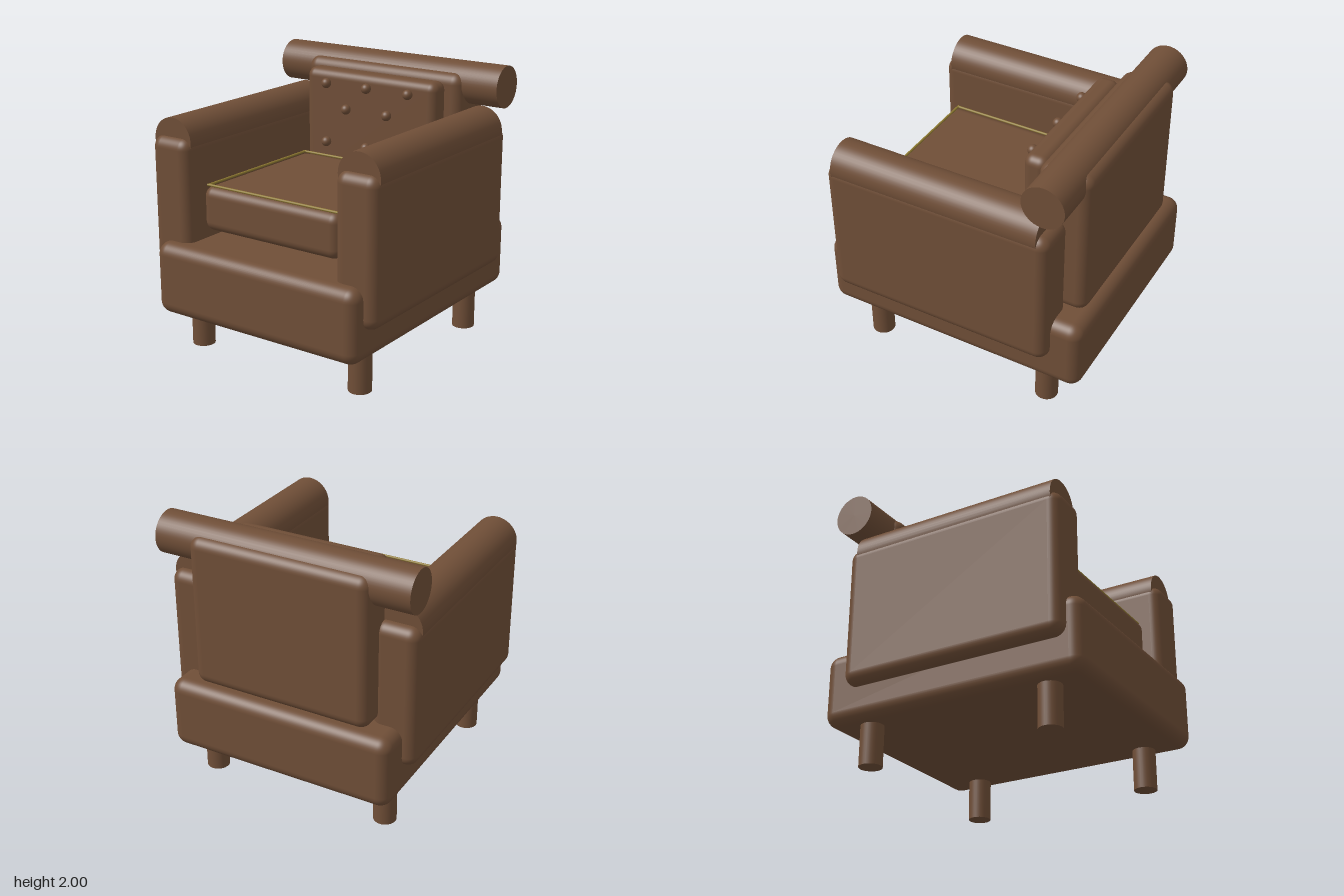
import * as THREE from 'three';
import { RoundedBoxGeometry } from 'three/addons/geometries/RoundedBoxGeometry.js';

export function createModel() {
  const chair = new THREE.Group();
  chair.name = 'armchair';

  const leather = new THREE.MeshStandardMaterial({ color: 0x6f4e37 });
  leather.name = 'brown leather';
  const piping = new THREE.MeshStandardMaterial({ color: 0x8f7a32 });
  piping.name = 'gold piping';

  const add = (name, geometry, material, x, y, z) => {
    const mesh = new THREE.Mesh(geometry, material);
    mesh.name = name;
    mesh.position.set(x, y, z);
    chair.add(mesh);
    return mesh;
  };

  // Soft block given by its [min, max] extent on each axis
  const pad = (name, [x0, x1], [y0, y1], [z0, z1], radius) =>
    add(name, new RoundedBoxGeometry(x1 - x0, y1 - y0, z1 - z0, 6, radius), leather,
      (x0 + x1) / 2, (y0 + y1) / 2, (z0 + z1) / 2);

  // Upholstered body
  pad('base', [-0.855, 0.855], [0.295, 0.825], [-1, 1], 0.09);
  pad('backrest', [-0.672, 0.672], [0.83, 1.93], [-0.945, -0.565], 0.08);
  pad('backCushion', [-0.565, 0.565], [1.0, 1.88], [-0.58, -0.405], 0.065);
  pad('seatCushion', [-0.575, 0.575], [0.91, 1.23], [-0.395, 0.795], 0.07);

  // Head roll across the top of the back
  const headRoll = new THREE.CylinderGeometry(0.152, 0.152, 1.885, 48);
  headRoll.rotateZ(Math.PI / 2);
  add('headRoll', headRoll, leather, 0, 1.848, -0.757);

  // Arms with rolled tops, and legs
  const armRoll = new THREE.CylinderGeometry(0.163, 0.163, 1.555, 48);
  armRoll.rotateX(Math.PI / 2);
  const leg = new THREE.CylinderGeometry(0.082, 0.082, 0.32, 32);
  for (const [side, s] of [['left', 1], ['right', -1]]) {
    const xs = [0.615 * s, 0.943 * s].sort((a, b) => a - b);
    pad(side + 'Arm', xs, [0.53, 1.565], [-0.788, 0.9], 0.08);
    add(side + 'ArmRoll', armRoll, leather, 0.779 * s, 1.537, 0.067);
    add(side + 'FrontLeg', leg, leather, 0.69 * s, 0.16, 0.69);
    add(side + 'BackLeg', leg, leather, 0.69 * s, 0.16, -0.69);
  }

  // Tufting buttons: rows of 3, 2 and 3
  const button = new THREE.SphereGeometry(0.037, 24, 16);
  for (const [y, xs] of [[1.785, [-0.355, 0, 0.355]], [1.607, [-0.178, 0.178]], [1.34, [-0.355, 0, 0.355]]]) {
    for (const x of xs) add('button', button, leather, x, y, -0.375);
  }

  // Piping around the top of the seat cushion
  const alongX = new THREE.CylinderGeometry(0.009, 0.009, 1.11, 12);
  alongX.rotateZ(Math.PI / 2);
  const alongZ = new THREE.CylinderGeometry(0.009, 0.009, 1.12, 12);
  alongZ.rotateX(Math.PI / 2);
  for (const s of [-1, 1]) {
    add('seatPiping', alongX, piping, 0, 1.236, 0.195 + 0.555 * s);
    add('seatPiping', alongZ, piping, 0.545 * s, 1.236, 0.195);
  }

  return chair;
}
